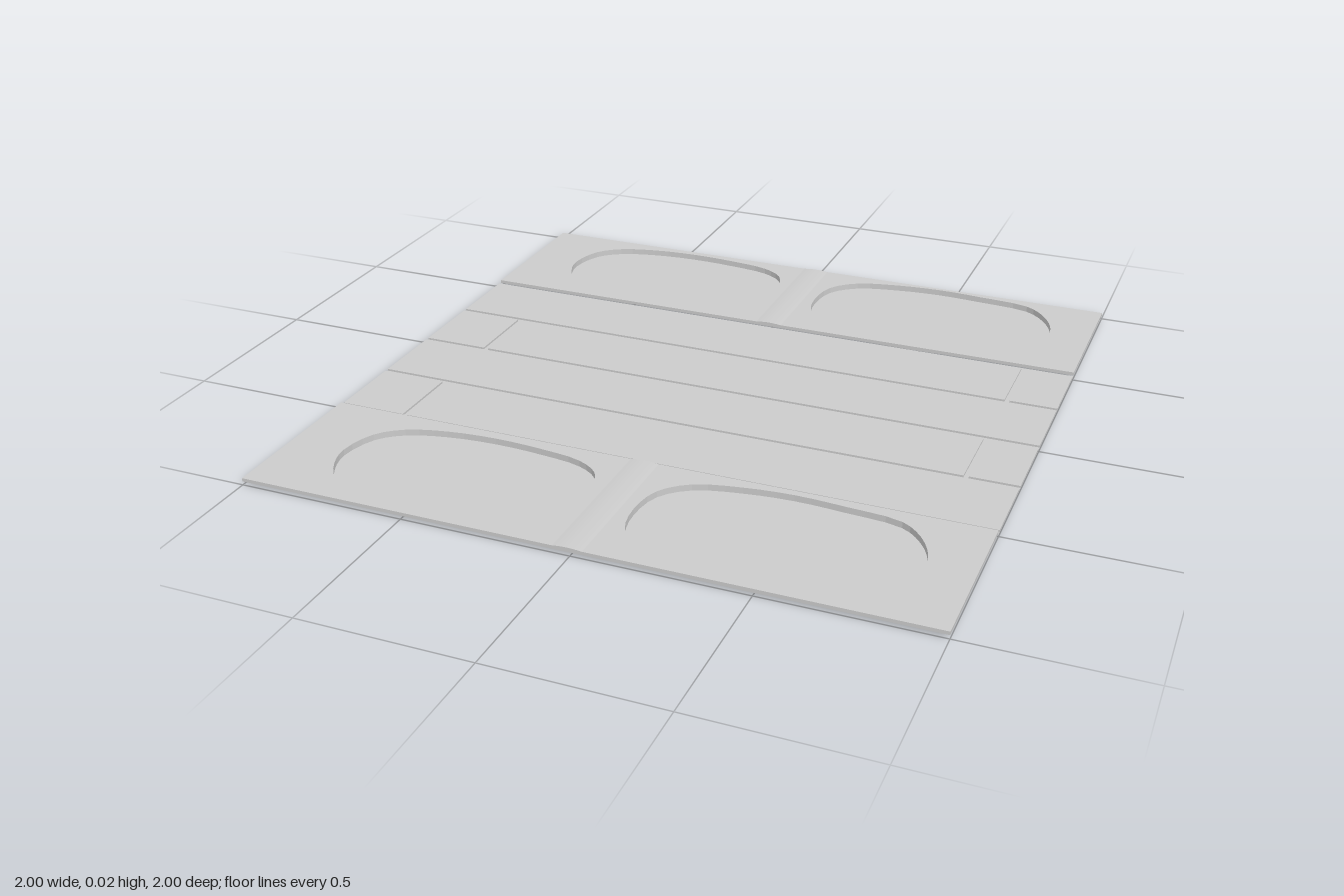
import * as THREE from 'three';

const PANEL_TOP = 0.021, PANEL_BOTTOM = 0.011, PLANK_TOP = 0.014, CHANNEL = 0.008;

// Rounded basin outlines as x, z pairs around the panel's middle line
const BASINS = {
  right: [[-.83, 0], [-.80, -.11], [-.73, -.17], [-.61, -.205], [-.46, -.218], [-.31, -.21],
    [-.18, -.188], [-.11, -.14], [-.08, -.05], [-.07, .02], [-.09, .11], [-.13, .16],
    [-.21, .19], [-.34, .213], [-.46, .218], [-.66, .197], [-.76, .15], [-.81, .08]],
  left: [[.07, 0], [.09, -.11], [.165, -.18], [.30, -.215], [.445, -.228], [.59, -.22],
    [.755, -.20], [.82, -.145], [.86, -.07], [.87, 0], [.855, .085], [.81, .155],
    [.755, .19], [.62, .22], [.445, .228], [.27, .213], [.155, .175], [.09, .1]],
};

export function createModel() {
  const model = new THREE.Group();
  const material = new THREE.MeshStandardMaterial({ color: 0xcccccc, side: THREE.DoubleSide });

  function add(geometry, name, parent = model) {
    const mesh = new THREE.Mesh(geometry, material);
    mesh.name = name;
    parent.add(mesh);
    return mesh;
  }

  // Box given by its limits
  function block(name, x0, x1, y0, y1, z0, z1) {
    add(new THREE.BoxGeometry(x1 - x0, y1 - y0, z1 - z0), name)
      .position.set((x0 + x1) / 2, (y0 + y1) / 2, (z0 + z1) / 2);
  }

  // Flat plate from a plan shape, reaching down from the top height
  function plate(shape, top, bottom) {
    return new THREE.ExtrudeGeometry(shape, { depth: top - bottom, bevelEnabled: false, curveSegments: 8 })
      .rotateX(Math.PI / 2).translate(0, top, 0);
  }

  // Smooth closed outline, optionally grown about its middle
  function outline(points, z, grow = 0) {
    const middle = (points[0][0] + points[9][0]) / 2;
    const curve = new THREE.CatmullRomCurve3(points.map(([x, dz]) => new THREE.Vector3(
      x + Math.sign(x - middle) * grow * Math.min(1, Math.abs(x - middle) / 0.1),
      z + dz * (1 + grow * 4), 0)), true);
    return curve.getPoints(54).slice(0, -1).map((p) => new THREE.Vector2(p.x, p.y));
  }

  // Front and back panels with two sunken basins each
  for (const [side, z0, z1, basinZ] of [['back', -1, -0.51, -0.76], ['front', 0.504, 1, 0.755]]) {
    const panel = new THREE.Group();
    panel.name = `${side}Panel`;
    model.add(panel);

    const slab = new THREE.Shape([[-1, z0], [1, z0], [1, z1], [-1, z1]].map((p) => new THREE.Vector2(...p)));
    for (const [name, points] of Object.entries(BASINS)) {
      const rim = outline(points, basinZ);
      slab.holes.push(new THREE.Path(rim));
      add(plate(new THREE.Shape(rim), 0.002, 0), `${name}BasinFloor`, panel);
      const wall = new THREE.Shape(outline(points, basinZ, 0.003));
      wall.holes.push(new THREE.Path(rim));
      add(plate(wall, PANEL_BOTTOM, 0), `${name}BasinWall`, panel);
    }
    add(plate(slab, PANEL_TOP, PANEL_BOTTOM), 'panelSlab', panel);

    // Low swelling between the basins
    const swelling = new THREE.Shape();
    swelling.moveTo(-0.05, 0);
    swelling.quadraticCurveTo(-0.01, 0.006, 0.035, 0);
    const ridge = new THREE.ExtrudeGeometry(swelling, { depth: z1 - z0, bevelEnabled: false, curveSegments: 8 });
    add(ridge, 'panelRidge', panel).position.set(0, PANEL_TOP, z0);
  }

  // Channel floor under the planks
  block('channelFloor', -1, 1, CHANNEL - 0.001, CHANNEL, -0.51, 0.504);

  // Four plank rows with staggered end joints
  for (let row = 0; row < 4; row++) {
    const z0 = -0.496 + row * 0.25;
    const z1 = z0 + 0.236;
    const [j0, j1] = row % 2 ? [-0.797, -0.782] : [0.84, 0.855];
    block('plank', -1, j0, CHANNEL, PLANK_TOP, z0, z1);
    block('plank', j1, 1, CHANNEL, PLANK_TOP, z0, z1);
  }

  return model;
}
